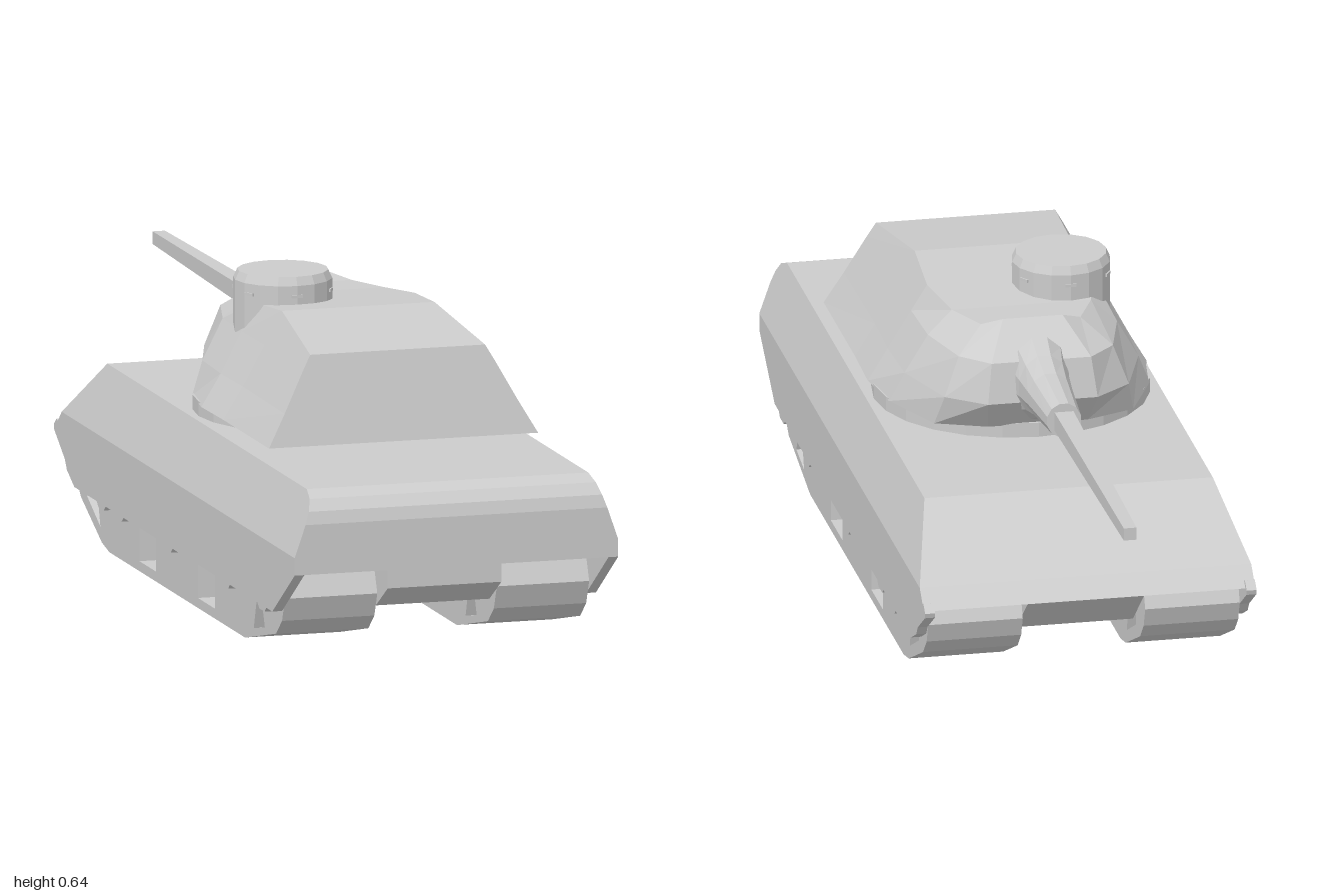
import * as THREE from 'three';

const grey = new THREE.MeshStandardMaterial({ color: 0xcccccc, flatShading: true, side: THREE.DoubleSide });

function add(group, name, geometry, x = 0, y = 0, z = 0) {
  const mesh = new THREE.Mesh(geometry, grey);
  mesh.name = name;
  mesh.position.set(x, y, z);
  group.add(mesh);
  return mesh;
}

// Side profile given as [z, y], extruded across x from x0 to x1
function sideExtrude(profile, x0, x1, holes = []) {
  const toPoints = (list) => list.map(([z, y]) => new THREE.Vector2(-z, y));
  const shape = new THREE.Shape(toPoints(profile));
  shape.holes = holes.map((h) => new THREE.Path(toPoints(h)));
  const g = new THREE.ExtrudeGeometry(shape, { depth: x1 - x0, bevelEnabled: false });
  return g.rotateY(Math.PI / 2).translate(x0, 0, 0);
}

// Skin between closed rings with equal point counts; quads are [a, b, c, d] index lists
function loft(rings, caps = []) {
  const n = rings[0].length, index = [];
  const quad = (a, b, c, d) => index.push(a, b, c, a, c, d);
  for (let r = 0; r < rings.length - 1; r++) {
    for (let i = 0; i < n; i++) {
      const j = (i + 1) % n;
      quad(r * n + i, r * n + j, (r + 1) * n + j, (r + 1) * n + i);
    }
  }
  caps.forEach((c) => quad(...c));
  const g = new THREE.BufferGeometry();
  g.setAttribute('position', new THREE.Float32BufferAttribute(rings.flat(2), 3));
  g.setIndex(index);
  const flat = g.toNonIndexed();
  flat.computeVertexNormals();
  return flat;
}

function makeTurret() {
  // Half outlines from rear to front, bottom level to roof
  const levels = [
    [[0.277, 0.385, 0.645], [0.277, 0.385, 0.34], [0.28, 0.385, 0.2], [0.262, 0.385, 0.08], [0.2, 0.385, -0.06], [0.1, 0.385, -0.1]],
    [[0.24, 0.45, 0.63], [0.237, 0.45, 0.34], [0.24, 0.45, 0.2], [0.235, 0.45, 0.06], [0.185, 0.45, -0.09], [0.11, 0.45, -0.15]],
    [[0.197, 0.53, 0.612], [0.193, 0.53, 0.34], [0.195, 0.53, 0.19], [0.19, 0.53, 0.05], [0.155, 0.53, -0.08], [0.1, 0.53, -0.135]],
    [[0.18, 0.56, 0.605], [0.157, 0.597, 0.34], [0.165, 0.585, 0.18], [0.14, 0.575, 0.06], [0.1, 0.575, -0.03], [0.06, 0.59, -0.05]],
  ];
  const rings = levels.map((half) => [...half, ...half.map(([x, y, z]) => [-x, y, z]).reverse()]);
  const caps = [], n = 12, top = 3 * n;
  for (let i = 0; i < 5; i++) {
    caps.push([top + i, top + i + 1, top + n - 2 - i, top + n - 1 - i]);
    caps.push([n - 1 - i, n - 2 - i, i + 1, i]);
  }
  return loft(rings, caps);
}

function makeMantlet() {
  // Elliptical sections: [z, half width, half height]
  const sides = 12;
  const rings = [[-0.08, 0.05, 0.07], [-0.115, 0.06, 0.088], [-0.16, 0.052, 0.066], [-0.22, 0.046, 0.05], [-0.355, 0.035, 0.036], [-0.355, 0.001, 0.001]]
    .map(([z, w, h]) => Array.from({ length: sides }, (_, i) => {
      const a = -((i + 0.5) / sides) * Math.PI * 2;
      return [w * Math.cos(a), 0.485 + h * Math.sin(a), z];
    }));
  return loft(rings);
}

export function createModel() {
  const model = new THREE.Group();
  model.name = 'tank';

  // Hull: vertical lower band, then sides leaning in towards the deck
  add(model, 'hullBand', sideExtrude([[1, 0.2], [1, 0.235], [-0.565, 0.235], [-0.605, 0.2]], -0.333, 0.333));
  const upper = sideExtrude([[1, 0.235], [1, 0.3], [0.993, 0.325], [0.975, 0.347], [0.94, 0.36], [-0.4, 0.36], [-0.565, 0.235]], -0.333, 0.333);
  const p = upper.attributes.position;
  for (let i = 0; i < p.count; i++) {
    const t = (p.getY(i) - 0.235) / 0.125;
    p.setX(i, p.getX(i) * (1 - 0.13 * t));
  }
  upper.computeVertexNormals();
  add(model, 'upperHull', upper);
  add(model, 'belly', sideExtrude([[0.92, 0.2], [0.92, 0.147], [0.84, 0.098], [-0.46, 0.098], [-0.585, 0.2]], -0.117, 0.117));

  // Tracks with openings, and skirts with a lightly scalloped lower edge
  const track = [[0.84, 0.197], [0.87, 0.128], [0.85, 0.08], [0.81, 0.047], [0.62, 0.004], [0.6, 0], [-0.31, 0], [-0.36, 0.01],
    [-0.5, 0.075], [-0.535, 0.11], [-0.55, 0.15], [-0.53, 0.197]];
  const openings = [
    [[0.4, 0.02], [0.285, 0.02], [0.285, 0.105], [0.4, 0.105]],
    [[0.005, 0.02], [-0.108, 0.02], [-0.108, 0.105], [0.005, 0.105]],
    [[0.735, 0.045], [0.66, 0.03], [0.685, 0.105], [0.71, 0.105]],
    [[-0.37, 0.04], [-0.46, 0.085], [-0.46, 0.105], [-0.39, 0.105]],
  ];
  const skirt = [[1, 0.2], [0.85, 0.1]];
  for (const z of [0.78, 0.535, 0.15, -0.18, -0.3]) {
    skirt.push([z + 0.03, 0.1], [z + 0.018, 0.09], [z - 0.018, 0.09], [z - 0.03, 0.1]);
  }
  skirt.push([-0.48, 0.1], [-0.53, 0.125], [-0.545, 0.145], [-0.615, 0.19], [-0.618, 0.2], [-0.6, 0.215], [-0.56, 0.2]);
  for (const [side, s] of [['left', 1], ['right', -1]]) {
    add(model, side + 'Track', sideExtrude(track, -0.095, 0.095, openings), s * 0.218);
    add(model, side + 'Skirt', sideExtrude(skirt, -0.01, 0.01), s * 0.323);
  }

  // Turret on its ring
  add(model, 'turretRing', new THREE.CylinderGeometry(0.275, 0.275, 0.035, 24), 0, 0.372, 0.165);
  add(model, 'turret', makeTurret());

  // Commander's cupola with a chamfered lid
  const lid = [[0, 0.645], [0.09, 0.645], [0.098, 0.628], [0.098, 0.49]].reverse().map(([x, y]) => new THREE.Vector2(x, y));
  add(model, 'cupola', new THREE.LatheGeometry(lid, 16), -0.1, 0, 0.16);
  for (let i = 0; i < 6; i++) {
    const a = (i / 6) * Math.PI * 2;
    const slit = add(model, 'visionBlock', new THREE.BoxGeometry(0.022, 0.006, 0.006), -0.1 + 0.096 * Math.sin(a), 0.607, 0.16 + 0.096 * Math.cos(a));
    slit.rotation.y = a;
  }

  // Gun
  add(model, 'mantlet', makeMantlet());
  const barrel = new THREE.CylinderGeometry(0.018, 0.027, 0.66, 4).rotateY(Math.PI / 4).rotateX(-Math.PI / 2);
  add(model, 'barrel', barrel, 0, 0.484, -0.67);

  // Small deck periscopes
  for (const x of [-0.066, -0.05]) add(model, 'periscope', new THREE.BoxGeometry(0.009, 0.016, 0.014), x, 0.364, -0.368);
  return model;
}
